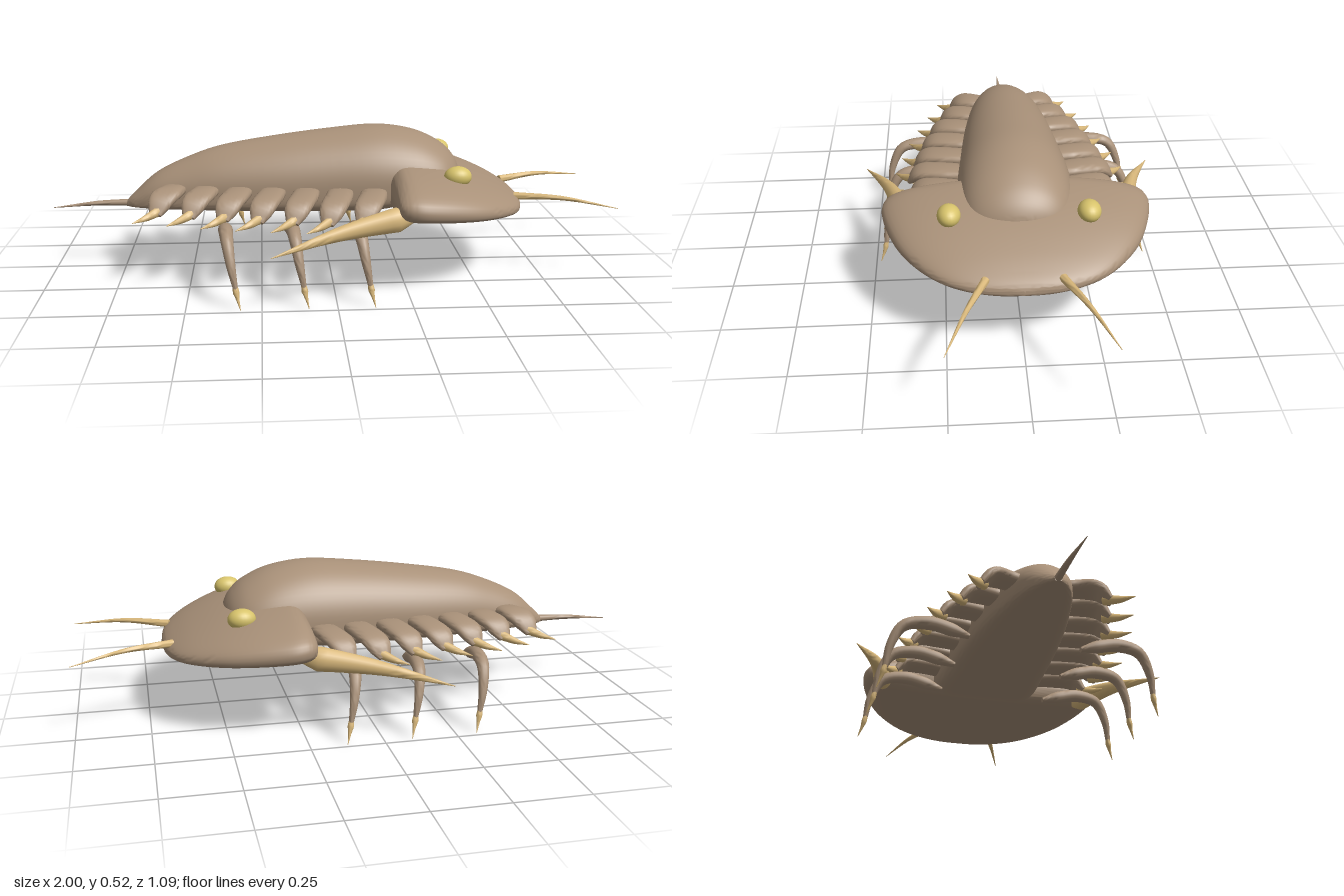
import * as THREE from 'three';
import { toCreasedNormals } from 'three/addons/utils/BufferGeometryUtils.js';

const shell = new THREE.MeshStandardMaterial({ name: 'brown shell', color: 0xa99179 });
const horn = new THREE.MeshStandardMaterial({ name: 'tan horn', color: 0xdab97c });
const eyeGold = new THREE.MeshStandardMaterial({ name: 'gold eye', color: 0xd8c46c });

const V = (x, y, z) => new THREE.Vector3(x, y, z);
const signedPow = (v, p) => Math.sign(v) * Math.pow(Math.abs(v), p);

// Skin a list of closed rings, with a fan cap at each end
function skin(rings, crease) {
  const n = rings[0].length, pos = [], idx = [];
  rings.forEach(r => r.forEach(p => pos.push(p.x, p.y, p.z)));
  for (let i = 0; i < rings.length - 1; i++) {
    for (let j = 0; j < n; j++) {
      const a = i * n + j, b = i * n + (j + 1) % n;
      idx.push(a, b, a + n, b, b + n, a + n);
    }
  }
  [0, rings.length - 1].forEach((k, end) => {
    const c = rings[k].reduce((s, p) => s.add(p), V(0, 0, 0)).divideScalar(n);
    const m = pos.length / 3;
    pos.push(c.x, c.y, c.z);
    for (let j = 0; j < n; j++) {
      const a = k * n + j, b = k * n + (j + 1) % n;
      if (end) idx.push(m, a, b); else idx.push(m, b, a);
    }
  });
  const g = new THREE.BufferGeometry();
  g.setAttribute('position', new THREE.Float32BufferAttribute(pos, 3));
  g.setIndex(idx);
  return toCreasedNormals(g, crease);
}

// Shell along x from rows [x, top, rim, bottom, halfWidth]; a power below 1 squares that half off
function shellLoft(rows, steps, topPower, bottomPower) {
  const curve = new THREE.CubicInterpolant(rows.map((_, i) => i), rows.flat(), 5);
  const rings = [], n = 56;
  for (let i = 0; i <= steps; i++) {
    const [x, top, rim, bottom, w] = curve.evaluate(i / steps * (rows.length - 1));
    rings.push(Array.from({ length: n }, (_, j) => {
      const a = j / n * Math.PI * 2, c = Math.cos(a);
      const power = c > 0 ? topPower : bottomPower;
      const height = c > 0 ? top - rim : rim - bottom;
      return V(x, rim + height * signedPow(c, power), w * signedPow(Math.sin(a), power));
    }));
  }
  return skin(rings, 0.7);
}

// Tapered limb along a curve; sizes are [radius along ref, radius across it]
function limb(points, sizes, ref, { steps = 16, n = 14, power = 1 } = {}) {
  const curve = new THREE.CatmullRomCurve3(points);
  const rings = [];
  for (let i = 0; i <= steps; i++) {
    const t = i / steps, f = t * (sizes.length - 1), k = Math.min(Math.floor(f), sizes.length - 2);
    const [ra, rb] = [0, 1].map(q => THREE.MathUtils.lerp(sizes[k][q], sizes[k + 1][q], f - k));
    const c = curve.getPoint(t), T = curve.getTangent(t);
    const N = ref.clone().addScaledVector(T, -ref.dot(T)).normalize();
    const B = T.clone().cross(N);
    rings.push(Array.from({ length: n }, (_, j) => {
      const a = j / n * Math.PI * 2;
      return c.clone().addScaledVector(N, ra * signedPow(Math.cos(a), power))
        .addScaledVector(B, rb * signedPow(Math.sin(a), power));
    }));
  }
  return skin(rings, 0.9);
}

export function createModel() {
  const model = new THREE.Group();
  model.name = 'trilobite';
  const add = (name, geometry, material) => {
    const mesh = new THREE.Mesh(geometry, material);
    mesh.name = name;
    model.add(mesh);
    return mesh;
  };
  const X = V(1, 0, 0), Y = V(0, 1, 0);

  // Long central lobe with a flat belly
  add('centralLobe', shellLoft([
    [-0.735, 0.25, 0.24, 0.23, 0.012],
    [-0.70, 0.285, 0.25, 0.23, 0.045],
    [-0.62, 0.355, 0.275, 0.23, 0.085],
    [-0.50, 0.412, 0.295, 0.23, 0.117],
    [-0.38, 0.45, 0.31, 0.23, 0.142],
    [-0.20, 0.48, 0.32, 0.23, 0.167],
    [0.00, 0.505, 0.33, 0.23, 0.184],
    [0.17, 0.518, 0.335, 0.235, 0.197],
    [0.30, 0.50, 0.335, 0.265, 0.195],
    [0.39, 0.462, 0.33, 0.28, 0.176],
    [0.44, 0.422, 0.325, 0.29, 0.138],
    [0.467, 0.38, 0.32, 0.29, 0.08],
    [0.474, 0.345, 0.315, 0.295, 0.02],
  ], 60, 1, 0.4), shell);

  // Wide D-shaped head shield sloping to the front
  add('headShield', shellLoft([
    [0.205, 0.35, 0.315, 0.275, 0.395],
    [0.215, 0.378, 0.314, 0.258, 0.43],
    [0.245, 0.403, 0.312, 0.246, 0.451],
    [0.30, 0.404, 0.306, 0.242, 0.456],
    [0.40, 0.388, 0.294, 0.237, 0.43],
    [0.50, 0.359, 0.28, 0.233, 0.384],
    [0.59, 0.323, 0.266, 0.23, 0.312],
    [0.65, 0.291, 0.256, 0.228, 0.23],
    [0.682, 0.268, 0.249, 0.228, 0.13],
    [0.693, 0.25, 0.244, 0.235, 0.02],
  ], 54, 0.92, 0.65), shell);

  // Tail spine
  add('tailSpine', limb([V(-0.71, 0.242, 0), V(-0.84, 0.24, 0), V(-1, 0.226, 0)],
    [[0.013, 0.013], [0.009, 0.009], [0.001, 0.001]], Y), shell);

  for (const s of [1, -1]) {
    const side = s > 0 ? 'front' : 'back';

    // Eye
    const eye = add(side + 'Eye', new THREE.SphereGeometry(1, 24, 16), eyeGold);
    eye.scale.set(0.048, 0.036, 0.039);
    eye.position.set(0.433, 0.377, 0.23 * s);

    // Cheek spine with a rounded root, sweeping backwards from the head corner
    add(side + 'CheekSpine', limb(
      [V(0.28, 0.285, 0.375 * s), V(0.015, 0.246, 0.445 * s), V(-0.22, 0.198, 0.543 * s)],
      [[0.012, 0.012], [0.043, 0.035], [0.036, 0.029], [0.029, 0.024], [0.022, 0.018],
        [0.015, 0.012], [0.008, 0.006], [0.001, 0.001]], Y, { steps: 21 }), horn);

    // Antenna
    add(side + 'Antenna', limb(
      [V(0.66, 0.275, 0.122 * s), V(0.82, 0.28, 0.185 * s), V(1, 0.258, 0.253 * s)],
      [[0.014, 0.014], [0.008, 0.008], [0.001, 0.001]], Y), horn);

    // Side ribs, flat and drooping, each ending in a short swept spine
    for (let i = 0; i < 7; i++) {
      const x = -0.585 + i * 0.117;
      const tip = [0.215, 0.255, 0.295, 0.325, 0.35, 0.37, 0.365][i];
      const root = 0.06 + i * 0.015;
      const mid = (root + tip) / 2;
      add(side + 'Rib' + (i + 1), limb(
        [V(x + 0.035, 0.308, root * s), V(x + 0.018, 0.312, mid * s),
          V(x - 0.008, 0.297, (tip - 0.035) * s), V(x - 0.028, 0.255, tip * s)],
        [[0.044, 0.019], [0.047, 0.02], [0.048, 0.02], [0.046, 0.019], [0.039, 0.017], [0.022, 0.01]],
        X, { n: 20, power: 0.75 }), shell);
      add(side + 'RibSpine' + (i + 1), limb(
        [V(x - 0.012, 0.266, (tip - 0.015) * s), V(x - 0.055, 0.25, (tip + 0.022) * s),
          V(x - 0.1, 0.241, (tip + 0.055) * s)],
        [[0.019, 0.018], [0.012, 0.011], [0.001, 0.001]], Y, { steps: 8, n: 10 }), horn);
    }

    // Walking legs with pointed claws
    [-0.365, -0.14, 0.08].forEach((x, i) => {
      add(side + 'Leg' + (i + 1), limb(
        [V(x - 0.008, 0.193, 0.193 * s), V(x - 0.008, 0.21, 0.25 * s), V(x - 0.003, 0.228, 0.33 * s),
          V(x + 0.004, 0.212, 0.41 * s), V(x + 0.016, 0.14, 0.45 * s), V(x + 0.03, 0.065, 0.463 * s)],
        [[0.012, 0.008], [0.024, 0.022], [0.025, 0.023], [0.021, 0.019], [0.015, 0.014], [0.008, 0.008]],
        X, { steps: 24 }), shell);
      add(side + 'Claw' + (i + 1), limb(
        [V(x + 0.028, 0.075, 0.461 * s), V(x + 0.034, 0.045, 0.468 * s), V(x + 0.045, 0.001, 0.483 * s)],
        [[0.009, 0.008], [0.011, 0.01], [0.005, 0.005], [0.001, 0.001]], X, { steps: 9, n: 10 }), horn);
    });
  }
  return model;
}
